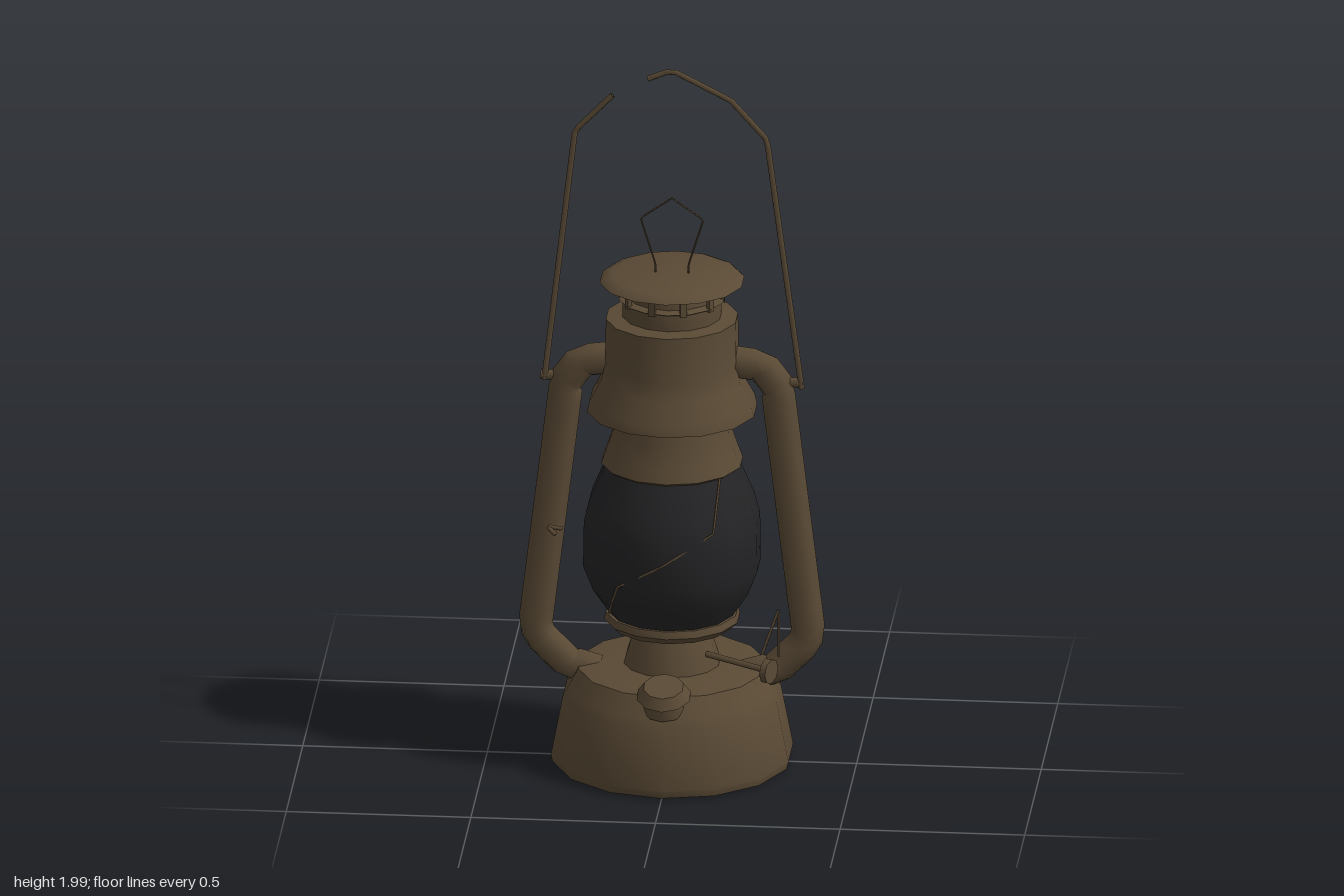
import * as THREE from 'three';
import { toCreasedNormals } from 'three/addons/utils/BufferGeometryUtils.js';

const SIDES = 14;

export function createModel() {
  const lantern = new THREE.Group();
  lantern.name = 'lantern';
  const brass = new THREE.MeshStandardMaterial({ color: 0x5a4a35, side: THREE.DoubleSide });
  brass.name = 'aged brass';
  const glass = new THREE.MeshStandardMaterial({ color: 0x242426, side: THREE.DoubleSide });
  glass.name = 'smoked glass';

  const add = (name, geometry, material = brass, parent = lantern) => {
    const mesh = new THREE.Mesh(geometry, material);
    mesh.name = name;
    parent.add(mesh);
    return mesh;
  };
  const turned = (name, profile, material, sides = SIDES) => {
    const points = profile.map(([r, y]) => new THREE.Vector2(r, y));
    return add(name, toCreasedNormals(new THREE.LatheGeometry(points, sides), 0.6), material);
  };
  const line = (points) => {
    const path = new THREE.CurvePath();
    const v = points.map((p) => new THREE.Vector3(...p));
    for (let i = 0; i < v.length - 1; i++) path.add(new THREE.LineCurve3(v[i], v[i + 1]));
    return path;
  };
  const wire = (name, points, radius, segments = 40, sides = 4) =>
    add(name, new THREE.TubeGeometry(line(points), segments, radius, sides));

  // Fuel tank and burner neck
  turned('tank', [[0, 0.005], [0.325, 0.01], [0.33, 0.03], [0.297, 0.2], [0.285, 0.22],
    [0.255, 0.275], [0.2, 0.285], [0, 0.285]]);
  turned('burnerNeck', [[0.135, 0.27], [0.125, 0.31], [0.1, 0.39], [0.12, 0.41]]);
  turned('globeSeat', [[0.1, 0.39], [0.165, 0.395], [0.185, 0.415], [0.18, 0.435], [0.15, 0.435]]);

  // Globe and the collar above it
  turned('globe', [[0.165, 0.425], [0.215, 0.5], [0.242, 0.57], [0.24, 0.7], [0.225, 0.76],
    [0.18, 0.865]], glass);
  turned('globeCollar', [[0.18, 0.855], [0.193, 0.865], [0.18, 0.9], [0.16, 0.96], [0.153, 1.03]]);

  // Chimney with flared skirt, vent and cap
  turned('chimney', [[0.15, 1.015], [0.232, 1.015], [0.225, 1.045], [0.195, 1.1], [0.182, 1.15],
    [0.18, 1.28], [0.135, 1.285]]);
  turned('ventBand', [[0.135, 1.28], [0.135, 1.33], [0.145, 1.335], [0.12, 1.34], [0.115, 1.385]]);
  for (let i = 0; i < 10; i++) {
    const a = (i + 0.5) * Math.PI / 5;
    const post = add('ventPost', new THREE.BoxGeometry(0.018, 0.055, 0.012));
    post.position.set(Math.sin(a) * 0.137, 1.355, Math.cos(a) * 0.137);
    post.rotation.y = a;
  }
  turned('cap', [[0.11, 1.365], [0.15, 1.372], [0.197, 1.385], [0.185, 1.396], [0.165, 1.405],
    [0, 1.405]]);
  wire('capRing', [[-0.045, 1.4, 0], [-0.045, 1.43, 0], [-0.085, 1.56, 0], [0, 1.62, 0],
    [0.085, 1.56, 0], [0.045, 1.43, 0], [0.045, 1.4, 0]], 0.0025);

  // Side air tubes, mirrored
  for (const s of [-1, 1]) {
    add(s > 0 ? 'leftAirTube' : 'rightAirTube', toCreasedNormals(new THREE.TubeGeometry(line([
      [s * 0.16, 1.155, 0], [s * 0.245, 1.145, 0], [s * 0.285, 1.09, 0], [s * 0.37, 0.38, 0],
      [s * 0.355, 0.345, 0], [s * 0.285, 0.275, 0], [s * 0.2, 0.25, 0],
    ]), 36, 0.046, 8), 0.9));
    const pivot = add('bailPivot', new THREE.CylinderGeometry(0.014, 0.014, 0.04, 6));
    pivot.position.set(s * 0.335, 1.1, 0);
    pivot.rotation.z = Math.PI / 2;
  }

  // Carrying bail with a broken section near the top
  wire('bailRightSide', [[-0.345, 1.09, 0.008], [-0.262, 1.81, 0.008], [-0.16, 1.915, 0.008]], 0.008);
  wire('bailLeftSide', [[-0.065, 1.965, 0.008], [0, 1.992, 0.008], [0.16, 1.91, 0.008],
    [0.258, 1.8, 0.008], [0.352, 1.085, 0.008]], 0.008);

  // Filler cap tilted on the front shoulder
  const filler = new THREE.Group();
  filler.name = 'fillerCap';
  filler.position.set(0, 0.265, 0.245);
  filler.rotation.x = 0.3;
  lantern.add(filler);
  add('fillerSpout', new THREE.CylinderGeometry(0.05, 0.06, 0.06, 10), brass, filler);
  add('fillerLid', new THREE.CylinderGeometry(0.055, 0.075, 0.03, 10), brass, filler).position.y = 0.03;

  // Wick knob on its spindle, with a raised lever
  wire('wickSpindle', [[0.1, 0.33, 0.06], [0.28, 0.32, 0.15]], 0.009, 4, 6);
  const knob = add('wickKnob', new THREE.CylinderGeometry(0.035, 0.035, 0.018, 8));
  knob.position.set(0.275, 0.32, 0.148);
  knob.rotation.set(0, -0.46, Math.PI / 2);
  wire('wickLever', [[0.255, 0.36, 0.13], [0.3, 0.49, 0.12], [0.302, 0.36, 0.14]], 0.004, 14);

  // Globe guard wires and lifter tab
  for (const s of [-1, 1]) {
    wire('guardWire', [[-0.16, 0.46, s * 0.11], [-0.13, 0.57, s * 0.205], [0, 0.65, s * 0.243],
      [0.13, 0.73, s * 0.2], [0.14, 0.86, s * 0.12]], 0.004);
  }
  wire('lifterTab', [[-0.29, 0.69, 0.09], [-0.33, 0.7, 0.1], [-0.305, 0.68, 0.11]], 0.006, 8);

  return lantern;
}
